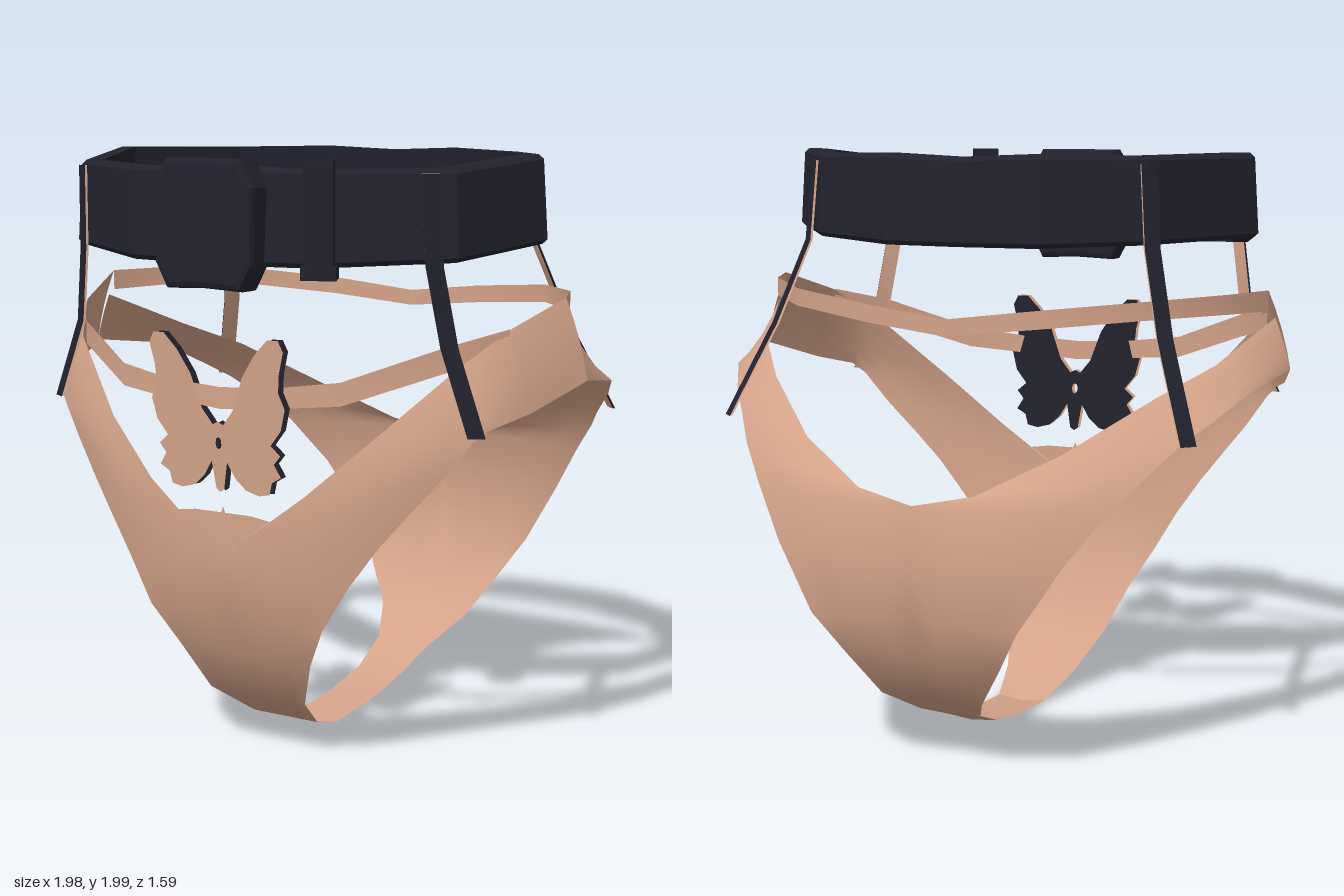
import * as THREE from 'three';

const black = new THREE.MeshStandardMaterial({ color: 0x22222e, side: THREE.DoubleSide });
black.name = 'black leather';
const tan = new THREE.MeshStandardMaterial({ color: 0xd4a389, side: THREE.DoubleSide });
tan.name = 'tan fabric';

const V = (p) => new THREE.Vector3(...p);

// Surface through rows of points; side = -1 mirrors it in x
function surface(rows, side = 1, flat = false) {
  const n = rows[0].length, pos = [], idx = [];
  rows.forEach((r) => r.forEach((p) => pos.push(side * p.x, p.y, p.z)));
  for (let i = 0; i < rows.length - 1; i++) {
    for (let j = 0; j < n - 1; j++) {
      const a = i * n + j, b = a + 1, c = a + n, d = c + 1;
      if (side > 0) idx.push(a, b, c, b, d, c);
      else idx.push(a, c, b, b, c, d);
    }
  }
  let g = new THREE.BufferGeometry();
  g.setAttribute('position', new THREE.Float32BufferAttribute(pos, 3));
  g.setIndex(idx);
  if (flat) g = g.toNonIndexed();
  g.computeVertexNormals();
  if (!flat) { // keep the centre line smooth across both halves
    const N = g.attributes.normal, v = new THREE.Vector3();
    for (let i = 0; i < N.count; i++) {
      if (Math.abs(pos[i * 3]) > 1e-4) continue;
      v.fromBufferAttribute(N, i).setX(0).normalize();
      N.setXYZ(i, v.x, v.y, v.z);
    }
  }
  return g;
}

// Row from inner edge to outer edge, bulging away from the body axis
function bulgedRow([a, b]) {
  const p = V(a), q = V(b), len = p.distanceTo(q), row = [];
  const out = p.clone().add(q).setY(0).normalize();
  for (let j = 0; j <= 4; j++) {
    const t = j / 4;
    row.push(p.clone().lerp(q, t).addScaledVector(out, 0.48 * len * len * t * (1 - t)));
  }
  return row;
}

export function createModel() {
  const model = new THREE.Group();
  const add = (name, geo, mat) => {
    const m = new THREE.Mesh(geo, mat);
    m.name = name;
    model.add(m);
    return m;
  };
  const addPair = (name, rows, mat) => {
    add(name + 'Left', surface(rows, 1), mat);
    add(name + 'Right', surface(rows, -1), mat);
  };

  // Front panel: inner (centre or waist) edge and leg edge, crotch to hip
  const front = [
    [[0, .01, .15], [.09, .02, .15]], [[0, .08, .33], [.13, .08, .33]],
    [[0, .19, .5], [.19, .2, .5]], [[0, .36, .59], [.26, .36, .575]],
    [[0, .5, .645], [.34, .5, .63]], [[0, .63, .675], [.43, .65, .62]],
    [[0, .725, .685], [.53, .79, .6]], [[.18, .85, .683], [.62, .9, .57]],
    [[.3, .94, .67], [.72, 1.02, .53]], [[.5, 1.12, .61], [.8, 1.13, .5]],
    [[.74, 1.36, .47], [.84, 1.17, .47]], [[.84, 1.47, .32], [.91, 1.21, .32]],
    [[.91, 1.55, .08], [.99, 1.29, .08]],
  ];
  addPair('frontPanel', front.map(bulgedRow), tan);

  // Back panel, crotch to hip
  const back = [
    [[0, .01, .15], [.09, .02, .15]], [[0, .04, -.1], [.09, .04, -.1]],
    [[0, .07, -.3], [.09, .08, -.3]], [[0, .15, -.47], [.11, .15, -.48]],
    [[0, .25, -.63], [.18, .24, -.63]], [[0, .38, -.71], [.27, .38, -.7]],
    [[0, .55, -.785], [.36, .53, -.775]], [[0, .74, -.79], [.5, .75, -.735]],
    [[0, .91, -.77], [.62, .92, -.65]], [[.2, .95, -.74], [.72, 1.03, -.55]],
    [[.45, 1.08, -.62], [.78, 1.1, -.47]], [[.68, 1.24, -.41], [.87, 1.18, -.35]],
    [[.82, 1.33, -.22], [.94, 1.25, -.22]], [[.935, 1.46, .08], [.99, 1.29, .08]],
  ];
  addPair('backPanel', back.map(bulgedRow), tan);

  // Notched trim on the upper edge of the front panel
  const trimHalf = [[.05, .755], [.1, .79], [.085, .83], [.11, .86], [.18, .85]];
  const trim = new THREE.Shape();
  trim.moveTo(0, .88);
  trimHalf.forEach(([x, y]) => trim.lineTo(x, y));
  trim.lineTo(0, .725);
  trimHalf.slice().reverse().forEach(([x, y]) => trim.lineTo(-x, y));
  trim.closePath();
  add('frontTrim', new THREE.ShapeGeometry(trim).translate(0, 0, .686), tan);

  // Thin waist straps: x, z, top y, bottom y from hip to centre
  const strap = (pts) => pts.map(([x, z, t, b]) => [V([x, t, z]), V([x, b, z])]);
  addPair('frontWaistStrap', strap([[.84, .33, 1.47, 1.39], [.7, .5, 1.42, 1.34],
    [.42, .65, 1.31, 1.235], [.2, .69, 1.28, 1.215], [0, .7, 1.27, 1.2]]), tan);
  addPair('backWaistStrap', strap([[.91, .08, 1.55, 1.48], [.83, -.12, 1.55, 1.485],
    [.62, -.36, 1.54, 1.48], [.3, -.48, 1.51, 1.45], [0, -.52, 1.475, 1.42]]), tan);

  // Butterfly: tan face with a black plate behind
  const wing = [[.02, 1.15], [.06, 1.2], [.1, 1.31], [.15, 1.385], [.2, 1.435], [.24, 1.435],
    [.258, 1.4], [.24, 1.33], [.235, 1.27], [.258, 1.22], [.24, 1.15], [.2, 1.1], [.235, 1.07],
    [.21, 1.04], [.235, 1.0], [.2, .98], [.19, .94], [.15, .932], [.1, .945], [.06, .98],
    [.03, 1.03], [.015, .94]];
  const fly = new THREE.Shape();
  fly.moveTo(0, 1.16);
  wing.forEach(([x, y]) => fly.lineTo(x, y));
  fly.lineTo(0, .93);
  wing.slice().reverse().forEach(([x, y]) => fly.lineTo(-x, y));
  fly.closePath();
  const gap = new THREE.Path();
  gap.absellipse(0, 1.09, .012, .02, 0, Math.PI * 2, true);
  fly.holes.push(gap);
  const plate = (name, z, mat) => {
    const g = new THREE.ShapeGeometry(fly, 4), P = g.attributes.position;
    for (let i = 0; i < P.count; i++) P.setZ(i, z + .05 * (P.getY(i) - 1.2));
    g.computeVertexNormals();
    add(name, g, mat);
  };
  plate('butterflyFace', .713, tan);
  plate('butterflyBacking', .684, black);

  // Belt: faceted ring, half outline as x, z, top y, bottom y
  const half = [[0, -.42, 1.99, 1.7], [.27, -.4, 2, 1.7], [.6, -.24, 1.995, 1.71],
    [.86, .12, 2, 1.72], [.74, .48, 1.965, 1.68], [.35, .69, 1.96, 1.66], [0, .745, 1.97, 1.66]];
  const ring = [...half, ...half.slice(0, -1).reverse().map(([x, ...r]) => [-x, ...r])];
  const belt = ring.map(([x, z, t, b]) => {
    const at = (s, y) => V([x * s, y, .16 + (z - .16) * s]);
    return [at(.96, t), at(.98, t - .015), at(1, b + .015), at(.98, b), at(.91, b), at(.89, t), at(.96, t)];
  });
  add('belt', surface(belt, 1, true), black);

  // Buckle with softened edges
  const buckle = new THREE.Shape([[-.13, 1.605], [0, 1.61], [.13, 1.605], [.165, 1.67], [.17, 1.9],
    [.13, 1.97], [-.13, 1.97], [-.17, 1.9], [-.165, 1.67]].map((p) => new THREE.Vector2(...p)));
  add('buckle', new THREE.ExtrudeGeometry(buckle, { depth: .07, bevelEnabled: true,
    bevelSize: .02, bevelThickness: .02, bevelSegments: 2 }).translate(0, 0, .7), black);

  // Belt loop
  const loop = add('beltLoop', new THREE.BoxGeometry(.09, .35, .1), black);
  loop.position.set(.375, 1.815, .695);
  loop.rotation.y = .48;
  const foot = add('beltLoopFoot', new THREE.BoxGeometry(.11, .04, .11), black);
  foot.position.set(.375, 1.65, .695);
  foot.rotation.y = .48;

  // Garter straps: black outside, tan lining
  const garter = (name, pts, [nx, nz]) => {
    const layer = (d) => pts.map(([x, y, z]) => [-1, 1].map((s) =>
      V([x + nx * d + s * nz * .028, y, z + nz * d - s * nx * .028])));
    addPair(name, layer(.004), black);
    addPair(name + 'Lining', layer(-.004), tan);
  };
  garter('frontGarter', [[.67, 1.95, .535], [.68, 1.67, .525], [.72, 1.42, .5], [.82, 1.15, .505]], [.5, .86]);
  garter('backGarter', [[.6, 1.97, -.255], [.62, 1.7, -.27], [.7, 1.42, -.37], [.82, 1.11, -.495]], [.71, -.71]);

  return model;
}
